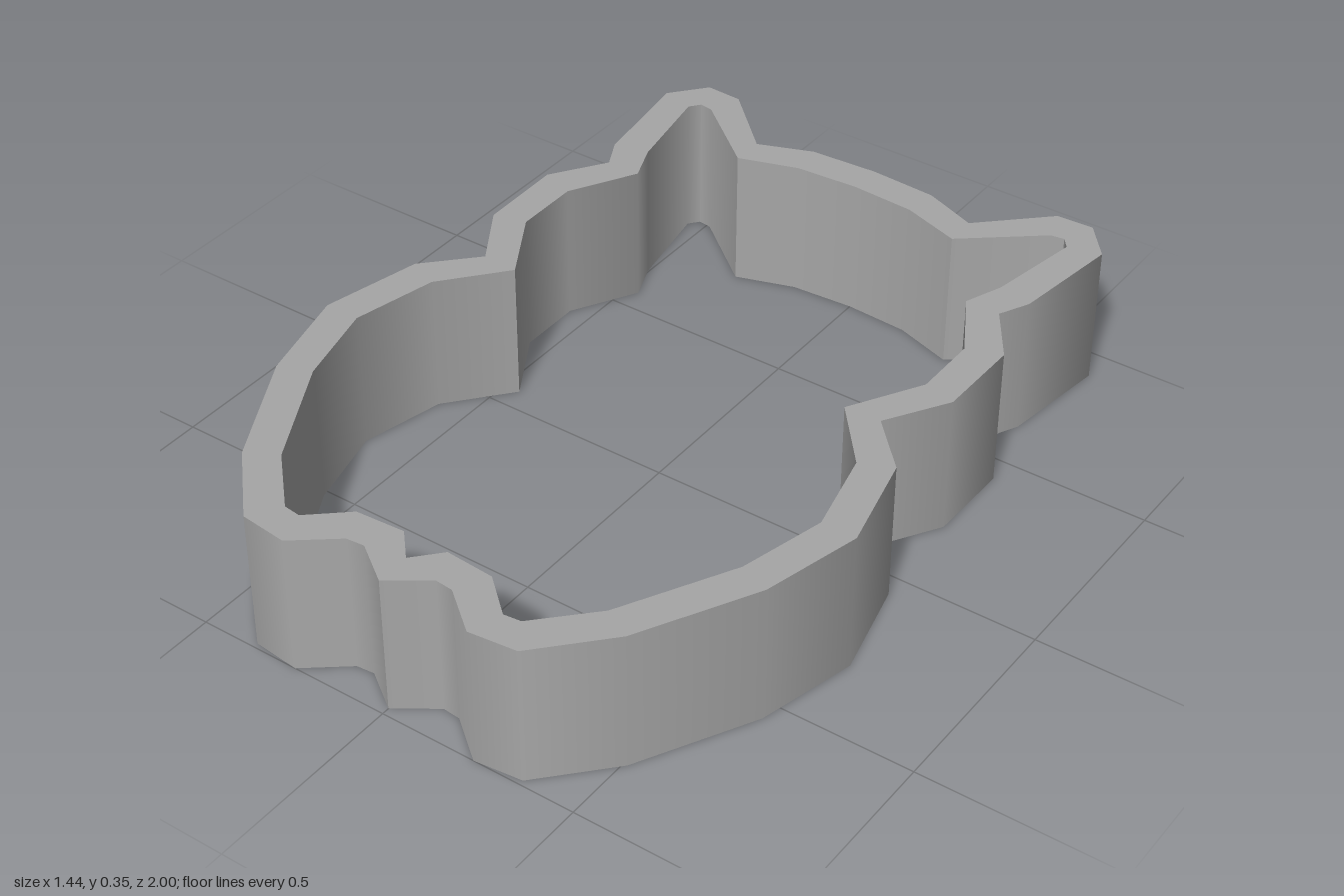
import * as THREE from 'three';

const HEIGHT = 0.355;
const CREASE = Math.cos(THREE.MathUtils.degToRad(56));

// Half outlines as [x, z], from the middle of the back to the middle of the front.
const OUTER = [
  [0, -0.907], [0.17, -0.897], [0.305, -0.845],                  // top of head
  [0.462, -0.995], [0.555, -1], [0.628, -0.913], [0.59, -0.637], // ear
  [0.553, -0.563], [0.643, -0.431], [0.64, -0.214],              // cheek
  [0.547, -0.064], [0.662, 0.056], [0.719, 0.303], [0.658, 0.548], // body
  [0.51, 0.827], [0.362, 0.987], [0.243, 1],
  [0.14, 0.918], [0.095, 0.914], [0, 0.981],                     // foot notch
];
const INNER = [
  [0, -0.822], [0.16, -0.812], [0.307, -0.764],
  [0.49, -0.913], [0.524, -0.918], [0.545, -0.892], [0.503, -0.657],
  [0.466, -0.563], [0.558, -0.4], [0.558, -0.235],
  [0.456, -0.06], [0.583, 0.091], [0.631, 0.303], [0.578, 0.516],
  [0.435, 0.785], [0.313, 0.912], [0.27, 0.917],
  [0.18, 0.838], [0.058, 0.83], [0, 0.894],
];

// Closes a half outline by mirroring it across x = 0.
function mirrored(half) {
  const other = half.slice(1, -1).reverse().map(([x, z]) => [-x, z]);
  return [...half, ...other];
}

// Upright wall along a closed outline, smooth at gentle bends and creased at sharp ones.
function wallGeometry(points) {
  const count = points.length;
  const normals = points.map(([x, z], i) => {
    const [nextX, nextZ] = points[(i + 1) % count];
    return new THREE.Vector3(nextZ - z, 0, x - nextX).normalize();
  });
  const blend = (own, neighbour) =>
    own.dot(neighbour) > CREASE ? own.clone().add(neighbour).normalize() : own;

  const position = [], normal = [], index = [];
  points.forEach(([x, z], i) => {
    const [nextX, nextZ] = points[(i + 1) % count];
    const start = blend(normals[i], normals[(i + count - 1) % count]);
    const end = blend(normals[i], normals[(i + 1) % count]);
    position.push(x, 0, z, x, HEIGHT, z, nextX, 0, nextZ, nextX, HEIGHT, nextZ);
    normal.push(...start, ...start, ...end, ...end);
    const v = i * 4;
    index.push(v, v + 1, v + 2, v + 2, v + 1, v + 3);
  });

  const geometry = new THREE.BufferGeometry();
  geometry.setAttribute('position', new THREE.Float32BufferAttribute(position, 3));
  geometry.setAttribute('normal', new THREE.Float32BufferAttribute(normal, 3));
  geometry.setIndex(index);
  return geometry;
}

export function createModel() {
  const grey = new THREE.MeshStandardMaterial({ color: 0xa6a6a6 });
  grey.name = 'grey';

  const model = new THREE.Group();
  model.name = 'cookieCutter';
  const add = (name, geometry) => {
    const mesh = new THREE.Mesh(geometry, grey);
    mesh.name = name;
    model.add(mesh);
  };

  // Walls: the inner outline runs backwards so that it faces inwards
  const outer = mirrored(OUTER);
  const inner = mirrored(INNER).reverse();
  add('outerWall', wallGeometry(outer));
  add('innerWall', wallGeometry(inner));

  // Flat rims: the outline is symmetric, so half a turn makes the bottom one
  const flat = (points) => points.map(([x, z]) => new THREE.Vector2(x, -z));
  const shape = new THREE.Shape(flat(outer));
  shape.holes.push(new THREE.Path(flat(inner)));
  const rim = new THREE.ShapeGeometry(shape).rotateX(-Math.PI / 2);
  add('bottomRim', rim.clone().rotateZ(Math.PI));
  add('topRim', rim.translate(0, HEIGHT, 0));

  return model;
}
